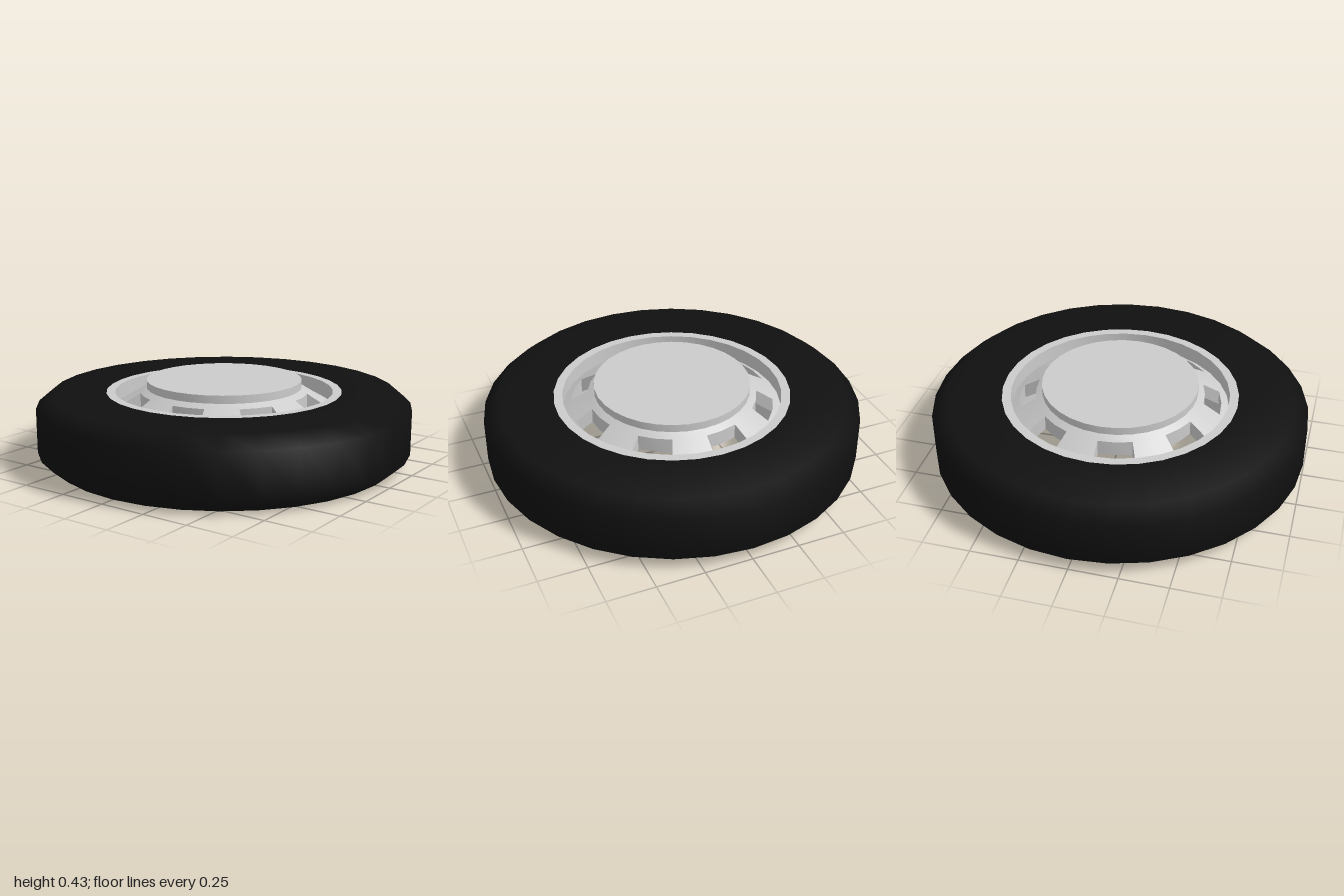
import * as THREE from 'three';
import { toCreasedNormals } from 'three/addons/utils/BufferGeometryUtils.js';

const SEG = 32;
const grey = new THREE.MeshStandardMaterial({ color: 0xcccccc });
const rubber = new THREE.MeshStandardMaterial({ color: 0x101010 });

function lathe(points) {
  return new THREE.LatheGeometry(points.map(([r, y]) => new THREE.Vector2(r, y)), SEG);
}

// Sloping wheel disc with eight slots, each two segments wide
function discGeometry() {
  const HUB = 0.415, SLOT_IN = 0.45, SLOT_OUT = 0.54, EDGE = 0.585, THICK = 0.08;
  const pos = [];
  const top = (r) => 0.388 - 0.6 * (Math.max(r, HUB) - HUB);
  const point = (r, i, upper) => {
    const a = (i / SEG) * Math.PI * 2;
    return [r * Math.sin(a), top(r) - (upper ? 0 : THICK), r * Math.cos(a)];
  };
  const quad = (a, b, c, d) => pos.push(...a, ...b, ...c, ...a, ...c, ...d);
  // patch of the upper or lower face between two radii
  const face = (r, R, i, upper) => {
    const c = [point(r, i, upper), point(R, i, upper), point(R, i + 1, upper), point(r, i + 1, upper)];
    quad(...(upper ? c : c.reverse()));
  };
  // curved slot wall, facing the axis or away from it
  const arcWall = (r, i, inward) => {
    const c = [point(r, i, false), point(r, i, true), point(r, i + 1, true), point(r, i + 1, false)];
    quad(...(inward ? c : c.reverse()));
  };
  // radial slot wall at the start or end of a slot
  const sideWall = (i, start) => {
    const c = [point(SLOT_IN, i, false), point(SLOT_IN, i, true), point(SLOT_OUT, i, true), point(SLOT_OUT, i, false)];
    quad(...(start ? c : c.reverse()));
  };

  for (let i = 0; i < SEG; i++) {
    pos.push(...point(0, i, false), ...point(HUB, i + 1, false), ...point(HUB, i, false));
    const step = i % 4;
    for (const upper of [true, false]) {
      face(HUB, SLOT_IN, i, upper);
      if (step > 1) face(SLOT_IN, SLOT_OUT, i, upper);
      face(SLOT_OUT, EDGE, i, upper);
    }
    if (step < 2) {
      arcWall(SLOT_OUT, i, true);
      arcWall(SLOT_IN, i, false);
    }
    if (step === 0) sideWall(i, true);
    if (step === 2) sideWall(i, false);
  }
  const geo = new THREE.BufferGeometry();
  geo.setAttribute('position', new THREE.Float32BufferAttribute(pos, 3));
  return toCreasedNormals(geo, 0.7);
}

export function createModel() {
  const wheel = new THREE.Group();
  wheel.name = 'wheel';
  const add = (name, geometry, material) => {
    const mesh = new THREE.Mesh(geometry, material);
    mesh.name = name;
    wheel.add(mesh);
  };

  // Tyre with chamfered shoulders
  add('tyre', lathe([[0.63, 0], [0.92, 0], [1, 0.067], [1, 0.303], [0.92, 0.37], [0.63, 0.37]]), rubber);

  // Rim barrel with flat lips at both ends
  add('rim', toCreasedNormals(
    lathe([[0.583, 0], [0.63, 0], [0.63, 0.37], [0.583, 0.37], [0.583, 0]]), 0.7), grey);

  add('slottedDisc', discGeometry(), grey);

  // Raised centre cap
  add('hubCap', toCreasedNormals(lathe([[0.415, 0.37], [0.415, 0.43], [0, 0.43]]), 0.7), grey);

  return wheel;
}
